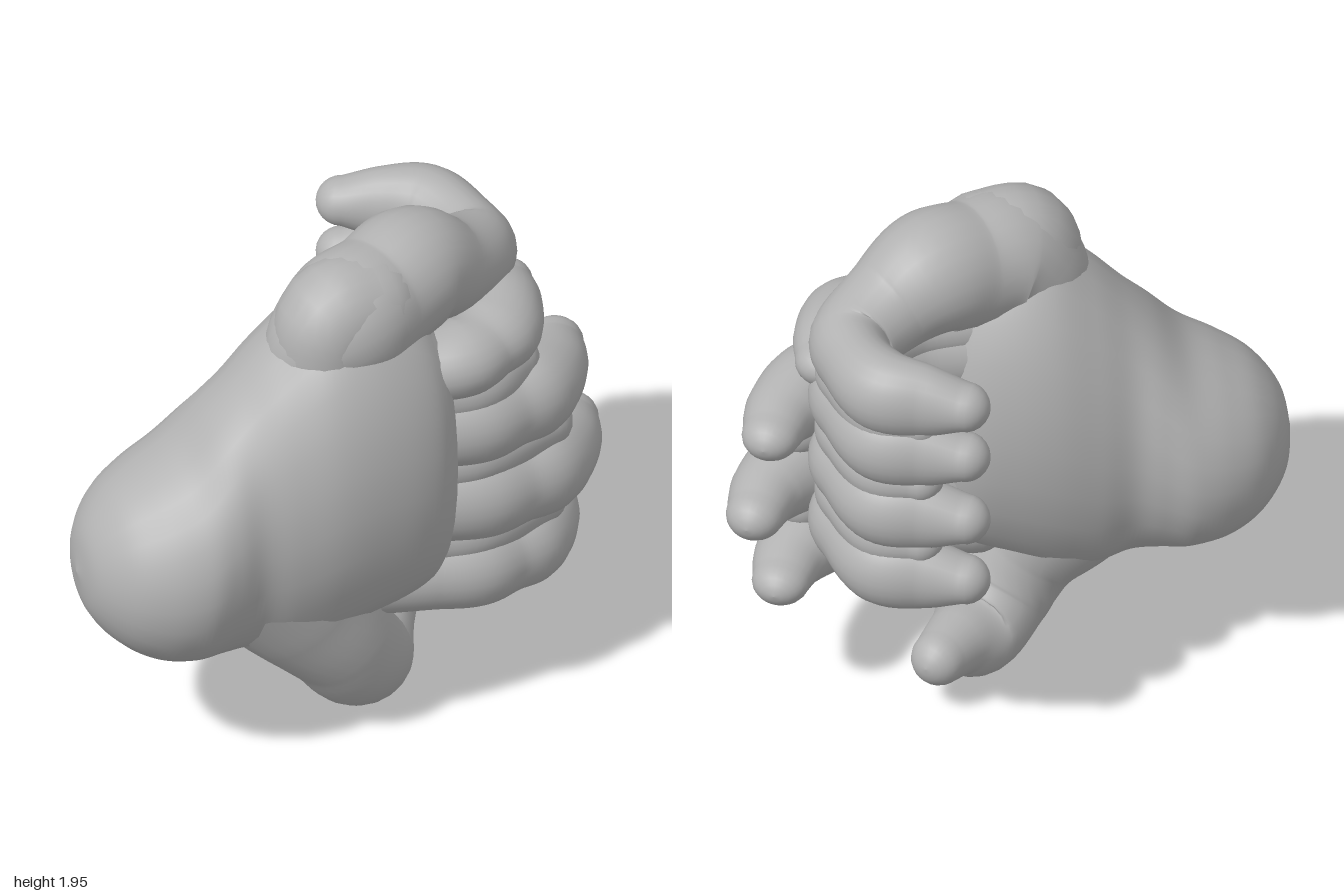
import * as THREE from 'three';

const SIDES = 24;

// Join closed rings of points into one smooth skin.
function skin(rings) {
  const pos = [], index = [];
  rings.forEach(ring => ring.forEach(p => pos.push(p.x, p.y, p.z)));
  for (let i = 0; i < rings.length - 1; i++) {
    for (let j = 0; j < SIDES; j++) {
      const a = i * SIDES + j, b = i * SIDES + (j + 1) % SIDES;
      index.push(a, b, a + SIDES, b, b + SIDES, a + SIDES);
    }
  }
  const geo = new THREE.BufferGeometry();
  geo.setAttribute('position', new THREE.Float32BufferAttribute(pos, 3));
  geo.setIndex(index);
  geo.computeVertexNormals();
  return geo;
}

// Round-ended limb through joints [x, y, z, radius, radius in height].
function limb(joints) {
  const path = new THREE.CatmullRomCurve3(joints.map(j => new THREE.Vector3(j[0], j[1], j[2])));
  const size = new THREE.CatmullRomCurve3(
    joints.map((j, i) => new THREE.Vector3(j[3], j[4] ?? j[3], i)), false, 'catmullrom');
  const rings = [];
  const addRing = (t, shift, scale) => {
    const r = size.getPoint(t);
    const T = path.getTangent(t);
    const S = new THREE.Vector3().crossVectors(T, new THREE.Vector3(0, 1, 0)).normalize();
    const U = new THREE.Vector3().crossVectors(S, T);
    const c = path.getPoint(t).addScaledVector(T, shift * r.x);
    rings.push(Array.from({ length: SIDES }, (_, j) => {
      const a = j / SIDES * Math.PI * 2;
      return c.clone().addScaledVector(U, Math.cos(a) * r.y * scale).addScaledVector(S, Math.sin(a) * r.x * scale);
    }));
  };
  const cap = 6, steps = (joints.length - 1) * 7;
  for (let i = 0; i < cap; i++) {
    const a = i / cap * Math.PI / 2;
    addRing(0, -Math.cos(a), Math.sin(a));
  }
  for (let i = 0; i <= steps; i++) addRing(i / steps, 0, 1);
  for (let i = 1; i <= cap; i++) {
    const a = i / cap * Math.PI / 2;
    addRing(1, Math.sin(a), Math.cos(a));
  }
  return skin(rings);
}

// Body lofted along x through stations [x, top, bottom, front, back].
function palmBody(stations) {
  const edge = (hi, lo) => new THREE.CatmullRomCurve3(
    stations.map(s => new THREE.Vector3(s[0], s[hi], s[lo])), false, 'catmullrom');
  const tall = edge(1, 2), deep = edge(3, 4), rings = [];
  const steps = (stations.length - 1) * 6;
  for (let i = 0; i <= steps; i++) {
    const h = tall.getPoint(i / steps), d = deep.getPoint(i / steps);
    rings.push(Array.from({ length: SIDES }, (_, j) => {
      const a = j / SIDES * Math.PI * 2;
      return new THREE.Vector3(h.x,
        (h.y + h.z) / 2 + Math.cos(a) * (h.y - h.z) / 2,
        (d.y + d.z) / 2 + Math.sin(a) * (d.y - d.z) / 2);
    }));
  }
  return skin(rings);
}

export function createModel() {
  const group = new THREE.Group();
  const grey = new THREE.MeshStandardMaterial({ color: 0xb2b2b2 });
  grey.name = 'plain grey';
  const add = (name, geo) => {
    const mesh = new THREE.Mesh(geo, grey);
    mesh.name = name;
    group.add(mesh);
  };

  // Rounded wrist stump flowing into the palm
  add('wristAndPalm', palmBody([
    [-1, 0.845, 0.845, 0.22, 0.22],
    [-0.97, 1.0, 0.69, 0.37, 0.07],
    [-0.88, 1.125, 0.565, 0.5, -0.06],
    [-0.76, 1.21, 0.485, 0.575, -0.135],
    [-0.63, 1.29, 0.452, 0.605, -0.165],
    [-0.52, 1.41, 0.445, 0.585, -0.145],
    [-0.42, 1.515, 0.43, 0.562, -0.125],
    [-0.3, 1.64, 0.39, 0.58, -0.148],
    [-0.15, 1.76, 0.41, 0.6, -0.165],
    [0, 1.78, 0.46, 0.595, -0.15],
    [0.15, 1.72, 0.51, 0.57, -0.1],
    [0.26, 1.62, 0.58, 0.52, 0],
    [0.32, 1.5, 0.72, 0.43, 0.08],
    [0.34, 1.08, 1.06, 0.26, 0.24],
  ]));

  // Thumb hanging below the palm
  add('thumb', limb([
    [-0.34, 0.76, 0.23, 0.3], [-0.2, 0.56, 0.25, 0.25], [-0.07, 0.39, 0.255, 0.207],
    [0.02, 0.25, 0.21, 0.19], [0.11, 0.17, 0.1, 0.165], [0.19, 0.2, 0, 0.122], [0.265, 0.215, -0.1, 0.097],
  ]));

  // Rear row of fingers, curling back towards the palm; the top one has a thick knuckle
  const curl = y => [
    [0.57, y, -0.1, 0.148, 0.155], [0.57, y, -0.22, 0.128, 0.142],
    [0.5, y, -0.39, 0.135, 0.152], [0.36, y, -0.465, 0.107, 0.135], [0.235, y, -0.52, 0.09, 0.088],
  ];
  add('rearFinger1', limb([
    [-0.17, 1.45, 0.22, 0.16], [-0.09, 1.62, 0.23, 0.21], [0, 1.69, 0.22, 0.235], [0.13, 1.71, 0.16, 0.222],
    [0.27, 1.735, 0.09, 0.22], [0.43, 1.665, 0.02, 0.175], ...curl(1.615),
  ]));
  // Outer corner of the top knuckle
  add('topKnuckle', limb([[-0.1, 1.55, 0.25, 0.19], [-0.07, 1.73, 0.25, 0.19], [0.06, 1.735, 0.23, 0.19]]));
  [1.4, 1.13, 0.87].forEach((y, i) => add('rearFinger' + (i + 2), limb([
    [0.1, y, 0.12, 0.16], [0.36, y, 0.06, 0.135, 0.15], ...curl(y),
  ])));

  // Flesh filling the grooves between the rear fingers
  [1.51, 1.265, 1].forEach((y, i) => add('rearWeb' + (i + 1), limb([
    [0.1, y, 0.12, 0.13], [0.36, y, 0.06, 0.11], [0.57, y, -0.1, 0.125],
    [0.57, y, -0.22, 0.108], [0.5, y, -0.38, 0.11], [0.38, y, -0.455, 0.08],
  ])));

  // Front row of fingers: root height, tip height, tip x, height radius
  [
    [1.455, 1.495, 0.655, 0.128], [1.195, 1.195, 0.84, 0.16],
    [0.885, 0.86, 0.895, 0.168], [0.59, 0.565, 0.805, 0.155],
  ].forEach(([y0, y1, tip, tall], i) => {
    // share of length, z, depth radius, share of height radius
    const joints = [
      [-0.35, 0.23, 0.15, 1], [0, 0.265, 0.155, 1], [0.3, 0.285, 0.156, 1.02], [0.5, 0.255, 0.145, 0.95],
      [0.7, 0.205, 0.155, 1], [0.9, 0.085, 0.13, 0.78], [1, -0.04, 0.102, 0.53],
    ];
    const tipShare = i === 0 ? 1.2 : 1;
    add('frontFinger' + (i + 1), limb(joints.map(([k, z, r, h]) => [
      0.28 + (tip - 0.28) * k, y0 + (y1 - y0) * Math.max(k, 0), z, r,
      tall * h * (k > 0.8 ? tipShare : 1),
    ])));
  });

  // Flesh filling the grooves between the front fingers: height, end x
  [[1.335, 0.6], [1.045, 0.72], [0.73, 0.7]].forEach(([y, end], i) => add('frontWeb' + (i + 1), limb([
    [0.12, y, 0.24, 0.12], [0.3, y, 0.265, 0.12], [0.45, y, 0.275, 0.118], [end, y, 0.19, 0.1],
  ])));

  return group;
}
